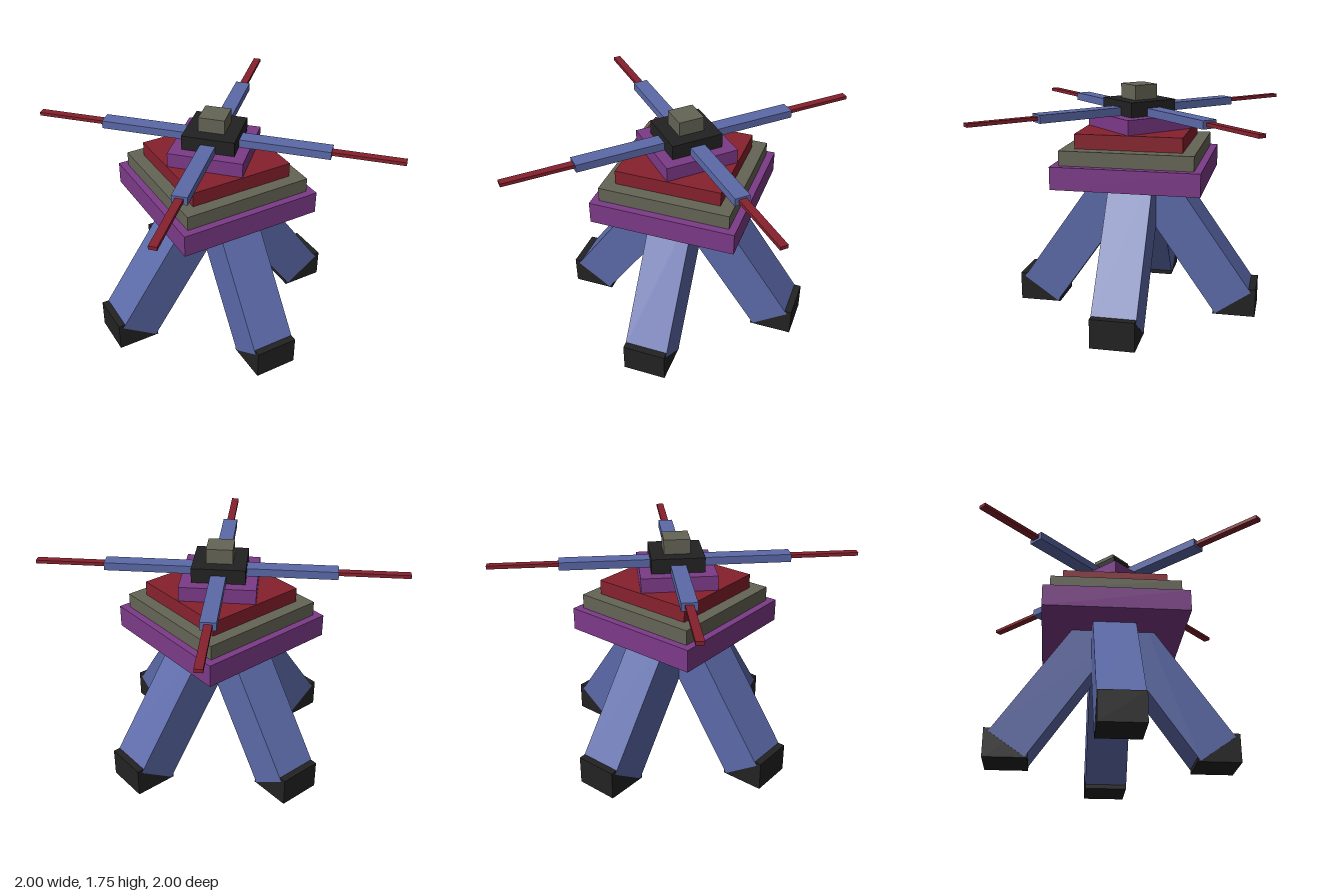
import * as THREE from 'three';

const mat = (name, color) => {
  const m = new THREE.MeshStandardMaterial({ color });
  m.name = name;
  return m;
};

export function createModel() {
  const blue = mat('slate blue', 0x5b69a8);
  const purple = mat('purple', 0x7c3a88);
  const red = mat('dark red', 0x86212d);
  const olive = mat('olive grey', 0x646456);
  const black = mat('black', 0x222222);

  const model = new THREE.Group();
  model.name = 'rotorTower';

  const box = (parent, name, material, size, pos) => {
    const mesh = new THREE.Mesh(new THREE.BoxGeometry(...size), material);
    mesh.name = name;
    mesh.position.set(...pos);
    parent.add(mesh);
    return mesh;
  };

  // Stacked square tiers: name, material, width, bottom, top, turned 45 degrees
  const tiers = [
    ['basePlate', purple, 1.1, 1.03, 1.2, false],
    ['middlePlate', olive, 0.99, 1.2, 1.31, false],
    ['upperPlate', red, 0.8, 1.31, 1.42, false],
    ['turntable', purple, 0.56, 1.42, 1.53, true],
    ['rotorHub', black, 0.393, 1.53, 1.64, true],
    ['hubCap', olive, 0.195, 1.64, 1.75, true],
  ];
  for (const [name, material, w, y0, y1, turned] of tiers) {
    const tier = box(model, name, material, [w, y1 - y0, w], [0, (y0 + y1) / 2, 0]);
    if (turned) tier.rotation.y = Math.PI / 4;
  }

  // Four splayed legs with block feet
  const tilt = THREE.MathUtils.degToRad(35);
  const legLength = 1.2;
  for (let i = 0; i < 4; i++) {
    const leg = new THREE.Group();
    leg.name = 'leg' + (i + 1);
    leg.rotation.y = (i * Math.PI) / 2;
    const shaft = box(leg, 'legShaft', blue, [0.33, legLength, 0.33], [
      0.77 - (Math.sin(tilt) * legLength) / 2,
      0.1 + (Math.cos(tilt) * legLength) / 2,
      0,
    ]);
    shaft.rotation.z = tilt;
    box(leg, 'foot', black, [0.325, 0.22, 0.327], [0.7775, 0.11, 0]);
    model.add(leg);
  }

  // Four diagonal rotor arms with thin tips
  for (let i = 0; i < 4; i++) {
    const arm = new THREE.Group();
    arm.name = 'rotorArm' + (i + 1);
    arm.rotation.y = Math.PI / 4 + (i * Math.PI) / 2;
    box(arm, 'armBar', blue, [0.713, 0.06, 0.113], [0.5065, 1.56, 0]);
    box(arm, 'armTip', red, [0.585, 0.026, 0.058], [1.0925, 1.562, 0]);
    model.add(arm);
  }

  return model;
}
